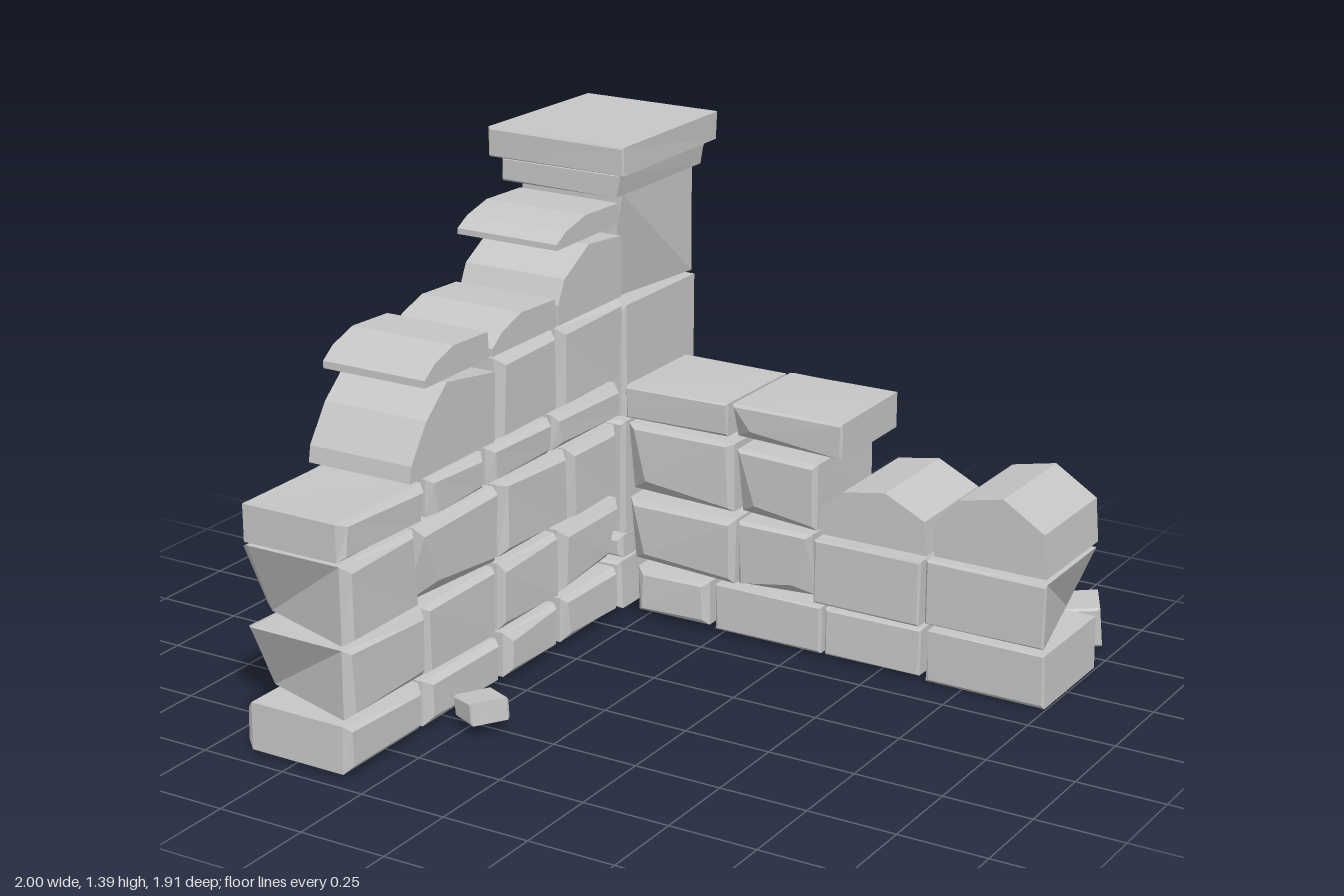
import * as THREE from 'three';

const stone = new THREE.MeshStandardMaterial({ color: 0xc6c6c6 });
stone.name = 'grey stone';

// Small seeded generator for uneven stone faces
let seed = 7;
function rnd(a, b) {
  seed = (seed * 16807) % 2147483647;
  return a + (b - a) * (seed / 2147483647);
}

// Faceted solid through rings of [u, y, d]; alongZ swaps u and d to run down the z axis
function loft(rings, alongZ) {
  const pos = [];
  const put = (p) => (alongZ ? pos.push(p[2], p[1], p[0]) : pos.push(p[0], p[1], p[2]));
  const tri = (a, b, c) => (alongZ ? [a, c, b] : [a, b, c]).forEach(put);
  const n = rings[0].length;
  for (let k = 0; k < rings.length - 1; k++) {
    for (let i = 0; i < n; i++) {
      const j = (i + 1) % n;
      tri(rings[k][i], rings[k][j], rings[k + 1][j]);
      tri(rings[k][i], rings[k + 1][j], rings[k + 1][i]);
    }
  }
  const first = rings[0];
  const last = rings[rings.length - 1];
  for (let i = 1; i < n - 1; i++) {
    tri(first[0], first[i + 1], first[i]);
    tri(last[0], last[i], last[i + 1]);
  }
  const g = new THREE.BufferGeometry();
  g.setAttribute('position', new THREE.Float32BufferAttribute(pos, 3));
  g.computeVertexNormals();
  return g;
}

function add(parent, name, geometry) {
  const mesh = new THREE.Mesh(geometry, stone);
  mesh.name = name;
  parent.add(mesh);
  return mesh;
}

// Hewn block: two full rings between two inset faces; chip lists corners cut back deeply on the +d face
function block([u0, u1, y0, y1, chip = []], d0, d1, alongZ, bevel = 0.025) {
  const corners = [[u0, y0, 1, 1], [u1, y0, -1, 1], [u1, y1, -1, -1], [u0, y1, 1, -1]];
  const ring = (d, inset, dir) => corners.map(([u, y, su, sy], i) => {
    const cut = dir > 0 && chip.includes(i);
    const a = inset ? rnd(0.5, 1.3) * bevel + (cut ? 0.05 : 0) : rnd(0, 0.006);
    const b = inset ? rnd(0.4, 1.1) * bevel + (cut ? 0.025 : 0) : rnd(0, 0.004);
    return [u + su * a, y + sy * b, d - dir * (inset ? rnd(0, 0.006) : bevel + (cut ? 0.03 : 0))];
  });
  return loft([ring(d0, true, -1), ring(d0, false, -1), ring(d1, false, 1), ring(d1, true, 1)], alongZ);
}

// Moves the vertices of a worn corner that pass the test
function wear(g, test, dx, dz) {
  const p = g.attributes.position;
  for (let k = 0; k < p.count; k++) {
    const [x, y, z] = [p.getX(k), p.getY(k), p.getZ(k)];
    if (test(x, y, z)) p.setXYZ(k, x + dx, y, z + dz);
  }
  g.computeVertexNormals();
  return g;
}

// Stone with a straight profile through the thickness of the wall
function coping(u0, u1, y0, y1, profile, d0, d1, alongZ) {
  const ring = (d) => profile.map(([u, v]) => [u0 + (u1 - u0) * u, y0 + (y1 - y0) * v, d]);
  return loft([ring(d0), ring(d1)], alongZ);
}

// Broken top profiles, running from the low to the high end
const slopedTop = [[0.02, 0], [1, 0], [0.98, 0.2], [0.8, 0.65], [0.56, 1], [0, 0.85]];
const thinTop = [[0, 0], [1, 0], [1, 0.25], [0.85, 0.65], [0.55, 1], [0.02, 0.92]];
const steepTop = [[0, 0], [1, 0], [1, 0.3], [0.9, 0.64], [0.52, 1], [0.01, 0.92]];
const domeTop = [[0.02, 0], [0.99, 0], [0.96, 0.62], [0.6, 1], [0.22, 0.86], [0.02, 0.48]];

export function createModel() {
  seed = 7;
  const root = new THREE.Group();
  root.name = 'ruinedWall';
  const group = (name) => {
    const g = new THREE.Group();
    g.name = name;
    root.add(g);
    return g;
  };

  // Long wall running forward: each stone is [z0, z1, y0, y1, chipped corners]
  const sideWall = group('sideWall');
  [
    [0.62, 0.955, 0.01, 0.145], [0.26, 0.61, 0.01, 0.14], [-0.03, 0.23, 0.01, 0.14], [-0.34, -0.05, 0.01, 0.145],
    [0.27, 0.61, 0.155, 0.35], [-0.03, 0.255, 0.155, 0.35], [-0.35, -0.04, 0.16, 0.35, [0]],
    [0.26, 0.63, 0.36, 0.575, [1]], [-0.08, 0.25, 0.365, 0.575], [-0.34, -0.09, 0.365, 0.57],
    [0.59, 0.955, 0.585, 0.69], [0.31, 0.575, 0.585, 0.69], [0, 0.3, 0.585, 0.69], [-0.35, -0.015, 0.585, 0.69],
    [-0.03, 0.255, 0.7, 0.93], [-0.36, -0.04, 0.7, 0.93],
  ].forEach((s) => add(sideWall, 'sideWallStone', block(s, -0.655, -0.315, true)));

  // Free end stones, worn back at the lower outer corner
  [[0.6, 0.945, 0.155, 0.35], [0.63, 0.945, 0.36, 0.575]].forEach((s) => add(sideWall, 'sideWallEndStone',
    wear(block(s, -0.655, -0.315, true), (x, y, z) => z > 0.85 && x < -0.5 && y < s[2] + 0.06, 0, -0.09)));

  // Stepped, worn copings climbing to the pillar
  [
    [0.265, 0.655, 0.705, 0.93, slopedTop], [0.29, 0.58, 0.94, 1.02, thinTop], [-0.03, 0.275, 0.94, 1.025, thinTop],
    [-0.36, -0.04, 0.94, 1.13, steepTop], [-0.35, -0.035, 1.15, 1.215, thinTop],
  ].forEach(([a, b, c, d, p]) => add(sideWall, 'sideWallCoping', coping(a, b, c, d, p, -0.645, -0.325, true)));

  // Low wall running to the left: [x0, x1, y0, y1, chipped corners], bevel
  const backWall = group('backWall');
  [
    [[-0.28, -0.04, 0.01, 0.145], 0.02], [[-0.02, 0.32, 0.01, 0.15], 0.01],
    [[0.325, 0.625, 0.01, 0.15], 0.01], [[0.64, 0.995, 0, 0.155], 0.01],
    [[-0.31, 0.04, 0.155, 0.35, [0]], 0.02], [[0.05, 0.285, 0.16, 0.35, [1]], 0.015], [[0.29, 0.62, 0.155, 0.345], 0.008],
    [[-0.31, 0.035, 0.365, 0.57, [0]], 0.02], [[0.04, 0.3, 0.365, 0.56, [0]], 0.015],
    [[-0.32, 0.02, 0.585, 0.685], 0.012], [[0.03, 0.375, 0.585, 0.69, [0]], 0.01],
  ].forEach(([s, bevel]) => add(backWall, 'backWallStone', block(s, -0.695, -0.355, false, bevel)));
  add(backWall, 'backWallEndStone', wear(block([0.63, 0.99, 0.165, 0.355], -0.695, -0.355, false, 0.01),
    (x, y, z) => x > 0.9 && y < 0.23 && z < -0.5, -0.08, 0));
  add(backWall, 'backWallCoping', coping(0.305, 0.64, 0.365, 0.52, domeTop, -0.685, -0.36, false));
  add(backWall, 'backWallCoping', coping(0.65, 0.99, 0.37, 0.57, domeTop, -0.69, -0.36, false));

  // Corner pillar with a two-slab cap
  const pillar = group('pillar');
  [
    [[-0.66, -0.32, 0.01, 0.155], -0.7, -0.34],
    [[-0.65, -0.32, 0.16, 0.23], -0.735, -0.35],
    [[-0.66, -0.31, 0.235, 0.575], -0.735, -0.35],
    [[-0.66, -0.31, 0.585, 0.915], -0.745, -0.35],
  ].forEach(([s, d0, d1]) => add(pillar, 'pillarStone', block(s, d0, d1, false, 0.015)));
  add(pillar, 'pillarTopStone', wear(block([-0.65, -0.315, 0.92, 1.235], -0.74, -0.35, false, 0.01),
    (x, y, z) => y < 1 && x > -0.5 && z > -0.5, -0.06, 0));
  add(pillar, 'capLowerSlab', wear(block([-0.675, -0.285, 1.235, 1.305], -0.755, -0.29, false, 0.01),
    (x, y) => y < 1.27 && x > -0.5, -0.015, 0));
  add(pillar, 'capUpperSlab', wear(block([-0.705, -0.26, 1.305, 1.39], -0.775, -0.27, false, 0.008),
    (x, y, z) => x < -0.5 && z < -0.5, 0.02, 0.01));

  // Fallen stones: position, size, turn and tilt
  const rubble = group('rubble');
  [
    [-0.735, 0.075, -0.84, 0.2, 0.13, 0.23, 0.03, 0.04],
    [-0.9, 0.085, -0.64, 0.14, 0.1, 0.15, 0.7, 0.25],
    [0.88, 0.08, -0.8, 0.15, 0.12, 0.15, 0.45, 0.1],
    [-0.21, 0.065, 0.52, 0.11, 0.065, 0.12, -0.55, 0.12],
    [-0.66, 0.17, -0.74, 0.06, 0.08, 0.07, 0.3, 0.1],
  ].forEach(([x, y, z, w, h, d, turn, tilt]) => {
    const m = add(rubble, 'fallenStone', block([-w / 2, w / 2, -h / 2, h / 2], -d / 2, d / 2, false, 0.01));
    m.position.set(x, y, z);
    m.rotation.set(0, turn, tilt);
  });
  return root;
}
